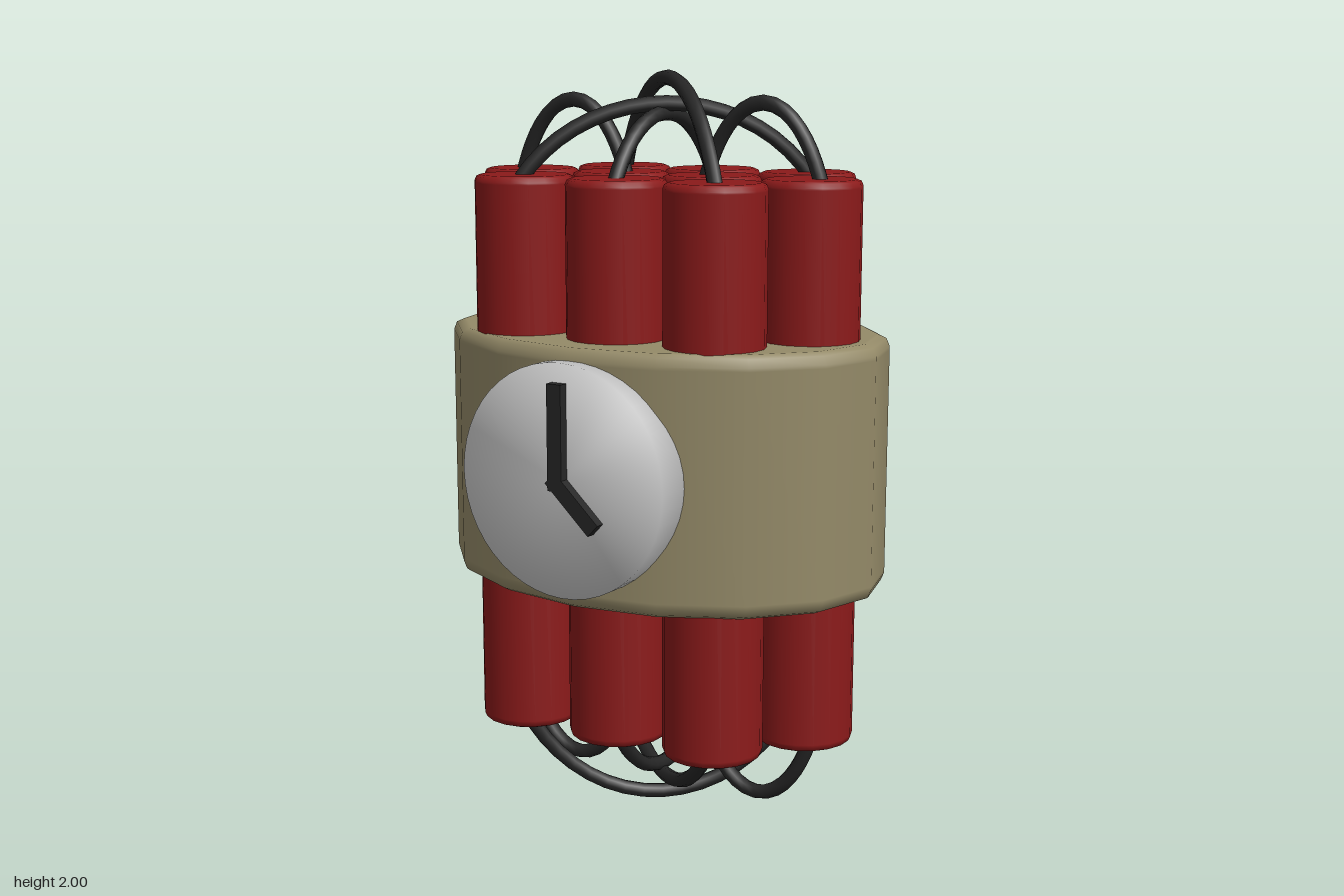
import * as THREE from 'three';
import { mergeVertices } from 'three/addons/utils/BufferGeometryUtils.js';

const mat = (color) => new THREE.MeshStandardMaterial({ color });
const RED = mat(0x8b1a1a), TAN = mat(0x948a68), DARK = mat(0x262626), GREY = mat(0xcccccc);
const MID_Z = -0.03;

function add(parent, name, geometry, material) {
  const mesh = new THREE.Mesh(geometry, material);
  mesh.name = name;
  parent.add(mesh);
  return mesh;
}

// Solid of revolution with softly bevelled rims; close extra rings keep the walls and caps crisp
function roundedDrum(radius, y0, y1, bevel, sides) {
  const b = bevel, half = [
    [radius, b * 1.3], [radius, b], [radius - b * 0.3, b * 0.3], [radius - b, 0], [radius - b * 1.3, 0], [0, 0],
  ];
  const lower = [...half].reverse().map(([r, d]) => new THREE.Vector2(r, y0 + d));
  const upper = half.map(([r, d]) => new THREE.Vector2(r, y1 - d));
  return new THREE.LatheGeometry([...lower, ...upper], sides);
}

// Arched wire between two stick ends
function wire(parent, name, [x0, z0], [x1, z1], peak) {
  const base = 1.715, top = base + (peak - base) * 4 / 3;
  const at = (t, y) => new THREE.Vector3(x0 + (x1 - x0) * t, y, z0 + (z1 - z0) * t);
  const curve = new THREE.CubicBezierCurve3(at(0, base), at(0.23, top), at(0.77, top), at(1, base));
  add(parent, name, new THREE.TubeGeometry(curve, 18, 0.02, 8), DARK);
}

function wireSet(name) {
  const set = new THREE.Group();
  set.name = name;
  for (const s of [-1, 1]) wire(set, 'sideWire', [s * 0.46, MID_Z], [s * 0.12, MID_Z], 1.92);
  wire(set, 'middleWire', [0, -0.275], [0, 0.215], 1.89);
  wire(set, 'upperDiagonalWire', [-0.285, -0.275], [0.3, 0.22], 1.98);
  wire(set, 'lowerDiagonalWire', [0.31, -0.265], [-0.29, 0.225], 1.915);
  return set;
}

export function createModel() {
  const model = new THREE.Group();
  model.name = 'clockBundle';

  // Ten sticks in three rows
  const sticks = new THREE.Group();
  sticks.name = 'sticks';
  model.add(sticks);
  const stick = roundedDrum(0.13, 0.265, 1.735, 0.016, 18);
  const rows = [
    [-0.27, [-0.285, 0, 0.29]],
    [MID_Z, [-0.43, -0.14, 0.14, 0.43]],
    [0.205, [-0.285, 0, 0.29]],
  ];
  for (const [z, xs] of rows) {
    for (const x of xs) add(sticks, 'stick', stick, RED).position.set(x, 0, z);
  }

  // Oval wrap around the middle
  const band = roundedDrum(0.62, 0.665, 1.33, 0.03, 16);
  band.scale(1, 1, 0.46 / 0.62);
  add(model, 'band', band, TAN).position.z = MID_Z;

  // Wires on top, and the same set turned over underneath
  model.add(wireSet('topWires'));
  const bottom = wireSet('bottomWires');
  bottom.rotation.z = Math.PI;
  bottom.position.y = 2;
  model.add(bottom);

  // Clock with softly shaded face
  const clock = new THREE.Group();
  clock.name = 'clock';
  clock.position.set(0, 1, 0);
  model.add(clock);
  let disc = new THREE.CylinderGeometry(0.3, 0.3, 0.165, 48);
  disc.deleteAttribute('normal');
  disc.deleteAttribute('uv');
  disc = mergeVertices(disc);
  disc.computeVertexNormals();
  disc.rotateX(Math.PI / 2);
  add(clock, 'clockFace', disc, GREY).position.z = 0.3825;

  // Clock hands
  const hands = [['minuteHand', 0.27, 0], ['hourHand', 0.175, -Math.PI * 0.74]];
  for (const [name, length, angle] of hands) {
    const hand = new THREE.BoxGeometry(0.042, length, 0.03);
    hand.translate(0, length / 2 - 0.02, 0);
    const mesh = add(clock, name, hand, DARK);
    mesh.position.z = 0.475;
    mesh.rotation.z = angle;
  }
  return model;
}
